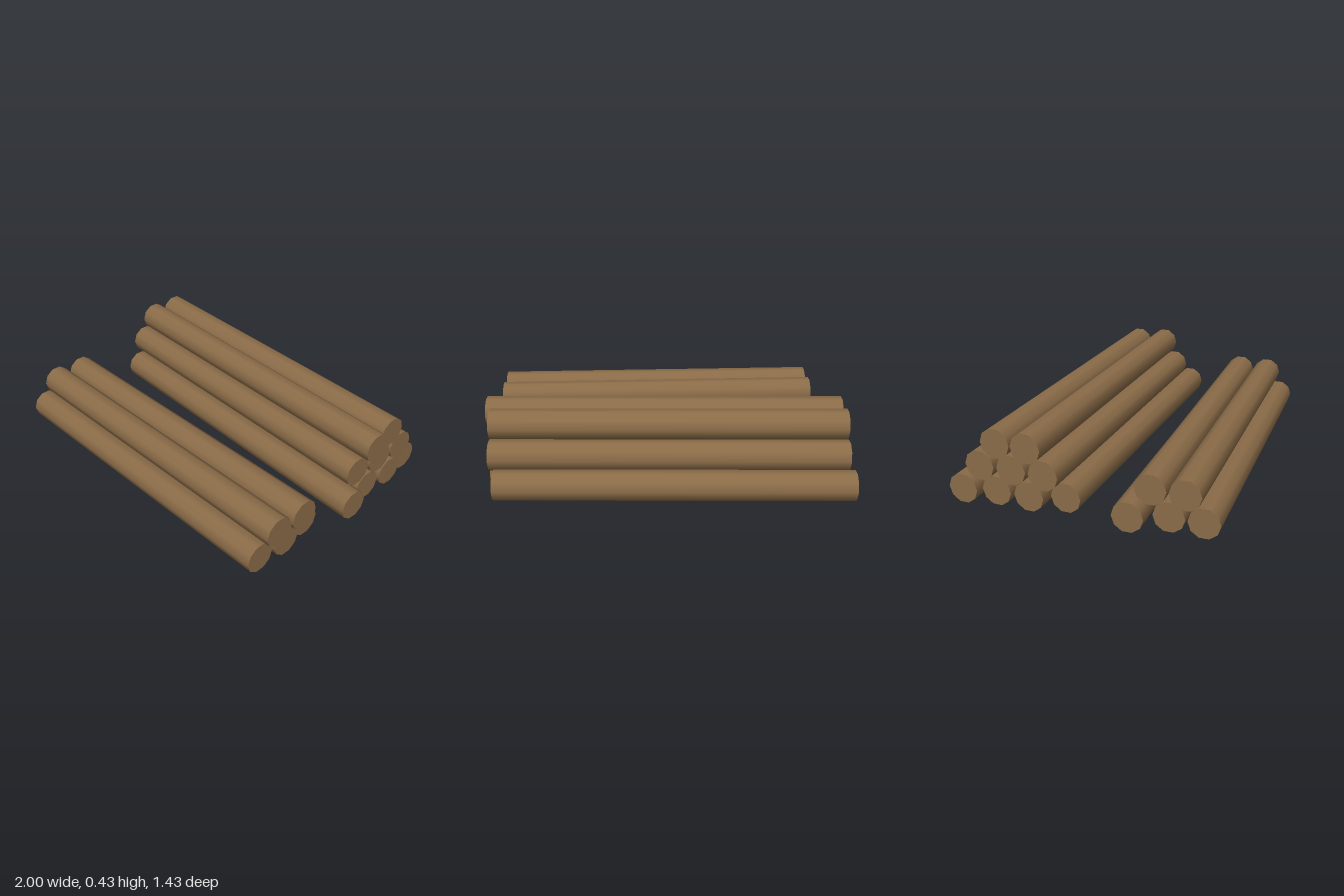
import * as THREE from 'three';

const RADIUS = 0.083;
const ROWS = [0.079, 0.212, 0.347]; // centre height of each layer

// One log: [layer, left-end x, left-end z, right-end x, right-end z]
const BACK_STACK = [
  [0, -0.905, -0.099, 0.998, -0.078],
  [0, -0.96, -0.278, 0.935, -0.258],
  [0, -0.96, -0.463, 0.935, -0.443],
  [0, -0.998, -0.638, 0.9, -0.616],
  [1, -0.965, -0.191, 0.93, -0.171],
  [1, -0.965, -0.37, 0.93, -0.35],
  [1, -0.97, -0.548, 0.926, -0.527],
  [2, -0.97, -0.28, 0.973, -0.261],
  [2, -0.97, -0.451, 0.93, -0.43],
];
const FRONT_STACK = [
  [0, -0.975, 0.263, 0.918, 0.205],
  [0, -0.9, 0.45, 0.957, 0.378],
  [0, -0.898, 0.628, 0.957, 0.557],
  [1, -0.907, 0.356, 0.984, 0.287],
  [1, -0.903, 0.533, 0.99, 0.465],
];

export function createModel() {
  const wood = new THREE.MeshStandardMaterial({ color: 0x8b6c48 });
  wood.name = 'brown wood';

  // Ten-sided log laid along x, a flat side up
  const logGeometry = new THREE.CylinderGeometry(RADIUS, RADIUS, 1, 10);
  logGeometry.rotateZ(-Math.PI / 2);

  const makeStack = (name, logs) => {
    const stack = new THREE.Group();
    stack.name = name;
    for (const [row, x0, z0, x1, z1] of logs) {
      const log = new THREE.Mesh(logGeometry, wood);
      log.name = 'log';
      log.scale.x = Math.hypot(x1 - x0, z1 - z0);
      log.rotation.y = -Math.atan2(z1 - z0, x1 - x0);
      log.position.set((x0 + x1) / 2, ROWS[row], (z0 + z1) / 2);
      stack.add(log);
    }
    return stack;
  };

  const model = new THREE.Group();
  model.name = 'logPiles';
  model.add(makeStack('backStack', BACK_STACK), makeStack('frontStack', FRONT_STACK));
  return model;
}
